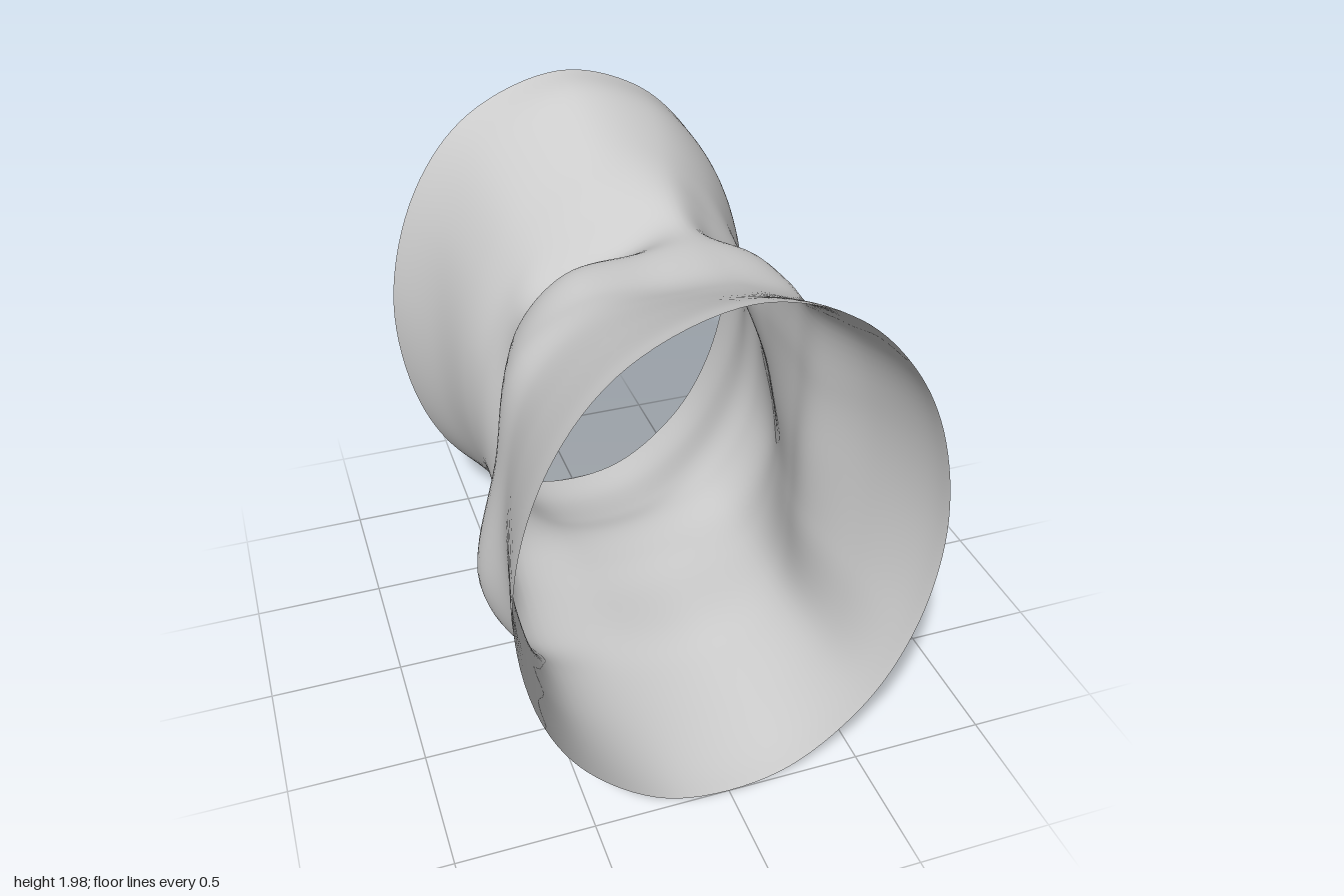
import * as THREE from 'three';

const RX = 0.745, RY = 0.995;      // end ellipse
const AROUND = 112, ALONG = 80;

// Angles of the control points, counter-clockwise from +x, closest at the corners
const ANGLES = [0, 25, 45, 65, 90, 120, 145, 175, 205, 228, 255, 285, 312, 335]
  .map(THREE.MathUtils.degToRad);

// Pinched waist: each value scales the end ellipse at one of the angles.
const WAIST = [
  { z: -0.8, scale: [.985, .98, .98, .98, .97, .91, .86, .82, .86, .92, .975, .985, .985, .98] },
  { z: -0.57, scale: [.89, .88, .88, .87, .84, .77, .73, .73, .79, .86, .91, .92, .92, .92] },
  { z: -0.4, scale: [.87, .84, .8, .8, .71, .64, .63, .66, .76, .89, .865, .87, .93, .94] },
  { z: -0.2, scale: [.8, .72, .73, .74, .58, .55, .625, .572, .73, .98, .865, .865, .96, .94] },
  { z: 0, scale: [.73, .745, .84, .745, .67, .74, .76, .69, .84, 1.02, .875, .875, .95, .86] },
  { z: 0.25, scale: [.68, .745, .87, .75, .675, .77, .86, .83, 1.04, 1.05, .88, .88, .93, .76] },
  { z: 0.45, scale: [.66, .74, .87, .8, .745, .81, .86, .845, .925, 1, .91, .91, .93, .73] },
];

// A section eased from another one toward the full end ellipse
const flare = (section, z, amount) => ({
  z,
  scale: section.scale.map(s => THREE.MathUtils.lerp(s, 1, amount)),
});

// Smooth closed loop through one section's points
function sectionLoop({ z, scale }) {
  const points = scale.map((s, k) =>
    new THREE.Vector3(RX * s * Math.cos(ANGLES[k]), 1 + RY * s * Math.sin(ANGLES[k]), z));
  const curve = new THREE.CatmullRomCurve3(points, true, 'centripetal');
  return Array.from({ length: AROUND }, (_, i) => curve.getPoint(i / AROUND));
}

// Skin the loops with one lengthwise curve per angle
function loftGeometry(sections) {
  const loops = sections.map(sectionLoop);
  const positions = [], indices = [];
  const row = ALONG + 1;
  for (let i = 0; i < AROUND; i++) {
    const rail = new THREE.CatmullRomCurve3(loops.map(l => l[i]), false, 'catmullrom', 0.5);
    for (let j = 0; j <= ALONG; j++) positions.push(...rail.getPoint(j / ALONG).toArray());
    for (let j = 0; j < ALONG; j++) {
      const a = i * row + j, b = ((i + 1) % AROUND) * row + j;
      indices.push(a, b, b + 1, a, b + 1, a + 1);
    }
  }
  const geometry = new THREE.BufferGeometry();
  geometry.setAttribute('position', new THREE.Float32BufferAttribute(positions, 3));
  geometry.setIndex(indices);
  geometry.computeVertexNormals();
  return geometry;
}

export function createModel() {
  const group = new THREE.Group();
  group.name = 'flaredTube';

  // Thin open shell, flared to an ellipse at both ends
  const back = WAIST[0], front = WAIST[WAIST.length - 1];
  const sections = [
    flare(back, -1, 1),
    ...WAIST,
    flare(front, 0.7, 0.46),
    flare(front, 0.9, 0.85),
    flare(front, 1, 1),
  ];
  const shell = new THREE.Mesh(
    loftGeometry(sections),
    new THREE.MeshStandardMaterial({ color: 0xcccccc, side: THREE.DoubleSide })
  );
  shell.name = 'shell';
  group.add(shell);
  return group;
}
